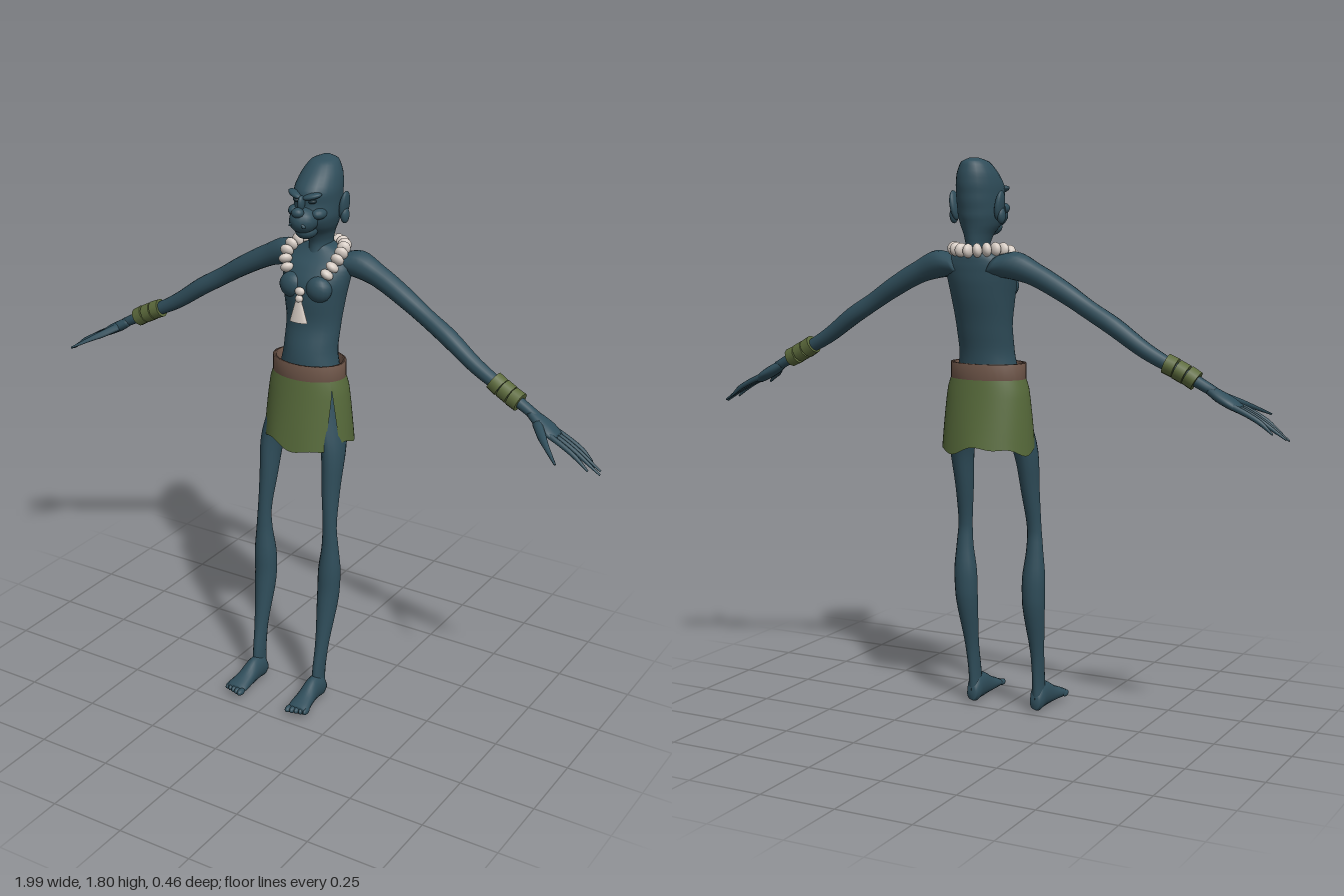
import * as THREE from 'three';

const mat = (name, hex) => {
  const m = new THREE.MeshStandardMaterial({ color: hex });
  m.name = name;
  return m;
};
const V = (x, y, z) => new THREE.Vector3(x, y, z);
const X = V(1, 0, 0), Y = V(0, 1, 0), Z = V(0, 0, 1);

// Smooth closed skin through elliptical sections [x, y, z, radius along u, radius along v]
function loft(sections, u, v, sides = 16, steps = 4) {
  const centres = new THREE.CatmullRomCurve3(sections.map(s => V(s[0], s[1], s[2])));
  const radii = new THREE.CatmullRomCurve3(sections.map(s => V(s[3], s[4], 0)));
  const n = (sections.length - 1) * steps, pos = [], idx = [];
  for (let i = 0; i <= n; i++) {
    const c = centres.getPoint(i / n), r = radii.getPoint(i / n);
    for (let j = 0; j < sides; j++) {
      const a = j / sides * Math.PI * 2;
      const p = c.clone().addScaledVector(u, Math.cos(a) * r.x).addScaledVector(v, Math.sin(a) * r.y);
      pos.push(p.x, p.y, p.z);
    }
  }
  const first = centres.getPoint(0), last = centres.getPoint(1);
  pos.push(...first.toArray(), ...last.toArray());
  const flip = u.clone().cross(v).dot(last.clone().sub(first)) < 0;
  const tri = (a, b, c) => flip ? idx.push(a, c, b) : idx.push(a, b, c);
  const tail = (n + 1) * sides;
  for (let j = 0; j < sides; j++) {
    const k = (j + 1) % sides;
    for (let i = 0; i < n; i++) {
      const a = i * sides + j, b = i * sides + k;
      tri(a, b, a + sides);
      tri(b, b + sides, a + sides);
    }
    tri(tail, k, j);
    tri(tail + 1, n * sides + j, n * sides + k);
  }
  const g = new THREE.BufferGeometry();
  g.setAttribute('position', new THREE.Float32BufferAttribute(pos, 3));
  g.setIndex(idx);
  g.computeVertexNormals();
  return g;
}

// Horizontal section from y, front z, back z, inner x, outer x
const slice = (y, zf, zb, xi, xo) => [(xi + xo) / 2, y, (zf + zb) / 2, (xo - xi) / 2, (zf - zb) / 2];

export function createModel() {
  const model = new THREE.Group();
  const skin = mat('blue skin', 0x2f4d5a);
  const shade = mat('dark eyes', 0x1c3038);
  const cloth = mat('green cloth', 0x56693a);
  const leather = mat('brown leather', 0x70574a);
  const bone = mat('pale bone', 0xd6ccc4);
  const band = mat('olive band', 0x5c6a3c);
  cloth.side = THREE.DoubleSide;

  const add = (name, geo, material, parent = model) => {
    const m = new THREE.Mesh(geo, material);
    m.name = name;
    parent.add(m);
    return m;
  };
  const ball = (name, p, s, material, parent = model) => {
    const m = add(name, new THREE.SphereGeometry(1, 16, 12), material, parent);
    m.position.set(...p);
    m.scale.set(...s);
    return m;
  };

  // Torso
  add('torso', loft([
    [1.53, -.10, -.18, .035], [1.505, -.085, -.197, .085], [1.47, -.052, -.2, .118], [1.42, -.022, -.198, .113],
    [1.37, -.018, -.19, .104], [1.28, -.022, -.17, .092], [1.2, -.002, -.155, .09], [1.12, .002, -.15, .104],
    [1.03, -.02, -.15, .1]
  ].map(([y, f, b, w]) => slice(y, f, b, -w, w)), X, Z, 24), skin);
  for (const s of [-1, 1]) ball('pectoral', [s * .047, 1.405, -.045], [.045, .042, .034], skin);

  // Head with long skull, muzzle, brow, nose, lips and ears
  const head = new THREE.Group();
  head.name = 'head';
  model.add(head);
  add('skull', loft([
    [1.8, -.15, -.18, .012], [1.787, -.108, -.205, .042], [1.75, -.062, -.216, .062], [1.705, -.026, -.217, .07],
    [1.67, -.028, -.214, .069], [1.63, -.02, -.208, .068], [1.595, -.04, -.2, .058], [1.565, -.072, -.194, .042],
    [1.53, -.088, -.19, .034], [1.48, -.08, -.19, .042]
  ].map(([y, f, b, w]) => slice(y, f, b, -w, w)), X, Z, 24), skin, head);
  ball('muzzle', [0, 1.625, -.035], [.045, .042, .052], skin, head);
  ball('chin', [0, 1.587, -.05], [.034, .026, .04], skin, head);
  ball('nose', [0, 1.655, .003], [.02, .016, .019], skin, head);
  ball('noseBridge', [0, 1.68, -.018], [.01, .024, .016], skin, head);
  const lips = add('lips', new THREE.TorusGeometry(.024, .006, 8, 16, Math.PI), skin, head);
  lips.position.set(0, 1.612, .006);
  lips.scale.set(1, .6, 1);
  for (const s of [-1, 1]) {
    const brow = ball('brow', [s * .03, 1.702, -.033], [.031, .01, .017], skin, head);
    brow.rotation.set(0, s * .4, s * .25);
    const eye = ball('eye', [s * .028, 1.684, -.038], [.013, .007, .012], shade, head);
    eye.rotation.z = s * .2;
    ball('cheek', [s * .042, 1.645, -.055], [.022, .018, .03], skin, head);
    const ear = ball('ear', [s * .078, 1.655, -.145], [.012, .046, .026], skin, head);
    ear.rotation.z = -s * .15;
    ball('earLobe', [s * .082, 1.625, -.142], [.013, .026, .018], skin, head);
  }

  // Arms, hands, wrist bands, legs and feet, mirrored
  for (const s of [-1, 1]) {
    const side = s > 0 ? 'left' : 'right';
    const limb = (name, sections, u, v, n) =>
      add(side + name, loft(sections.map(([x, ...r]) => [s * x, ...r]), u, v, n), skin);
    const across = V(s * .45, .89, 0);

    limb('Arm', [
      [.06, 1.47, -.145, .05, .04], [.12, 1.475, -.148, .045, .046], [.2, 1.448, -.147, .034, .036],
      [.3, 1.395, -.143, .031, .032], [.38, 1.345, -.14, .025, .029], [.46, 1.297, -.135, .029, .029],
      [.56, 1.228, -.127, .024, .025], [.68, 1.165, -.118, .019, .019], [.77, 1.117, -.113, .018, .016]
    ], Z, across);
    limb('Palm', [
      [.75, 1.126, -.113, .017, .014], [.785, 1.105, -.11, .03, .018], [.82, 1.086, -.106, .037, .017],
      [.85, 1.068, -.102, .03, .012]
    ], Z, across);
    const tips = [[.955, 1.005, -.128], [.99, .99, -.108], [.995, .985, -.092], [.965, 1.0, -.068]];
    tips.forEach(([x, y, z], i) => {
      const bz = -.13 + i * .017;
      limb('Finger', [
        [.825, 1.082, bz, .008, .01], [.875, 1.06, bz * .6 + z * .4, .0075, .009],
        [.92, 1.035, bz * .3 + z * .7, .007, .008], [x, y, z, .003, .003]
      ], Z, across, 8);
    });
    limb('Thumb', [
      [.785, 1.105, -.09, .014, .013], [.82, 1.085, -.05, .012, .012], [.85, 1.07, -.018, .008, .008],
      [.9, 1.043, .028, .003, .003]
    ], V(s * .7, 0, -.7), across, 8);

    // Three wrist bands strung along the forearm
    const dir = V(s * .89, -.46, .07).normalize();
    for (let i = -1; i <= 1; i++) {
      const b = add(side + 'WristBand', new THREE.CylinderGeometry(.031, .031, .033, 12), band);
      b.position.set(s * .668, 1.172, -.119).addScaledVector(dir, i * .037);
      b.quaternion.setFromUnitVectors(Y, dir);
      b.rotateZ(i * .08);
    }

    limb('Leg', [
      [1.08, 0, -.14, .02, .11], [.98, .01, -.13, .045, .133], [.88, .02, -.085, .078, .15],
      [.75, .025, -.045, .09, .148], [.62, .03, -.015, .102, .149], [.55, .033, -.02, .099, .155],
      [.45, .042, -.032, .086, .162], [.37, .046, -.028, .086, .159], [.2, .07, .015, .099, .142],
      [.1, .09, .027, .1, .136], [.045, .09, .03, .098, .138]
    ].map(r => slice(...r)), X, Z);
    limb('Foot', [
      [.117, .035, .03, .017, .022], [.117, .05, .055, .026, .045], [.117, .052, .1, .027, .043],
      [.119, .04, .15, .032, .028], [.122, .033, .19, .037, .018], [.123, .031, .207, .034, .012]
    ], X, Y);
    for (let i = 0; i < 5; i++)
      ball(side + 'Toe', [s * (.095 + i * .0145), .03, .21 - i * .004], [.0105 - i * .0008, .011, .019], skin);
  }

  // Belt: flat-sided hoop standing off the waist
  const hoop = [[.114, 1.108], [.126, 1.108], [.126, 1.165], [.114, 1.165], [.114, 1.108]];
  const belt = add('belt', new THREE.LatheGeometry(hoop.map(p => new THREE.Vector2(...p)), 32), leather);
  belt.scale.z = .72;
  belt.position.z = -.07;

  // Flared skirt wrapped round the hips with a slit on its left side and an uneven hem
  const skirt = new THREE.PlaneGeometry(1, 1, 56, 8), p = skirt.attributes.position;
  for (let i = 0; i < p.count; i++) {
    const k = .5 - p.getY(i), gap = .2 * Math.max(0, (k - .15) / .85);
    const t = .57 + gap + (p.getX(i) + .5) * (Math.PI * 2 - 2 * gap);
    const hem = k * k * (.012 * Math.sin(t * 3 + 1) + .006 * Math.sin(t * 7));
    const rx = .126 + .026 * Math.sqrt(k), rz = .091 + .039 * k;
    p.setXYZ(i, rx * Math.cos(t), 1.115 - .22 * k + hem, -.07 + rz * Math.sin(t));
  }
  skirt.computeVertexNormals();
  add('skirt', skirt, cloth);

  // Bead necklace, open at the chest
  const half = [[.072, 1.455, -.052], [.09, 1.49, -.07], [.088, 1.518, -.12], [.06, 1.522, -.175]];
  const string = new THREE.CatmullRomCurve3([
    ...half.map(q => V(...q)), V(0, 1.518, -.205), ...half.slice().reverse().map(([x, y, z]) => V(-x, y, z))
  ]);
  const count = 16;
  for (let i = 0; i <= count; i++) {
    const bead = ball('bead', string.getPointAt(i / count).toArray(), [.022, .022, .015], bone);
    bead.quaternion.setFromUnitVectors(Z, string.getTangentAt(i / count));
  }

  // Bone pendant on the chest
  ball('pendantBead', [0, 1.4, -.01], [.017, .014, .012], bone);
  ball('pendantBead', [0, 1.377, -.006], [.013, .013, .011], bone);
  const pendant = add('pendant', new THREE.CylinderGeometry(.011, .032, .07, 16), bone);
  pendant.position.set(0, 1.337, -.003);
  pendant.scale.z = .4;
  return model;
}
